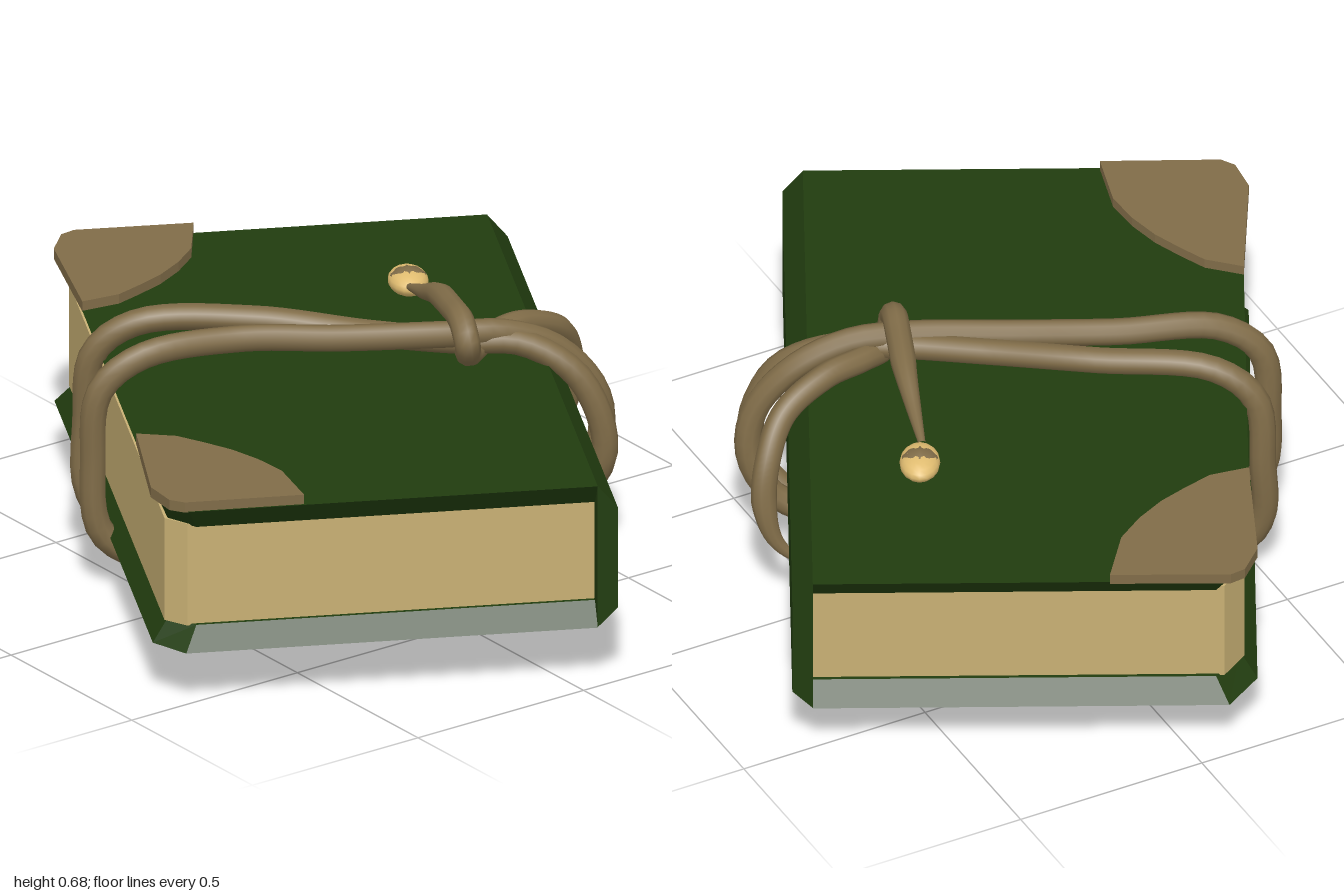
import * as THREE from 'three';

const flat = (name, color) => {
  const m = new THREE.MeshStandardMaterial({ color });
  m.name = name;
  return m;
};

// Solid between two outlines [x, z], listed counter-clockwise from above
function loft(low, y0, high, y1) {
  const pos = [];
  const n = low.length;
  const at = (p, y) => [p[0], y, p[1]];
  const tri = (a, b, c) => pos.push(...a, ...b, ...c);
  for (let i = 0; i < n; i++) {
    const j = (i + 1) % n;
    tri(at(low[i], y0), at(low[j], y0), at(high[j], y1));
    tri(at(low[i], y0), at(high[j], y1), at(high[i], y1));
    if (i > 0 && i < n - 1) {
      tri(at(high[0], y1), at(high[i], y1), at(high[j], y1));
      tri(at(low[0], y0), at(low[j], y0), at(low[i], y0));
    }
  }
  const g = new THREE.BufferGeometry();
  g.setAttribute('position', new THREE.Float32BufferAttribute(pos, 3));
  g.computeVertexNormals();
  return g;
}

// Block outline with the two front corners cut off
const outline = (w, back, front, cutL, cutR, depth) => [
  [-w, back], [-w, front - depth], [-w + cutL, front],
  [w - cutR, front], [w, front - depth], [w, back],
];

// Round cord through points, its radius following a function of t
function cord(points, closed, segments, radius) {
  const curve = new THREE.CatmullRomCurve3(points.map((p) => new THREE.Vector3(...p)), closed);
  const sides = 10;
  const g = new THREE.TubeGeometry(curve, segments, 1, sides, closed);
  const pos = g.attributes.position;
  const v = new THREE.Vector3();
  for (let i = 0; i < pos.count; i++) {
    const t = Math.floor(i / (sides + 1)) / segments;
    const c = curve.getPointAt(closed ? t % 1 : t);
    v.fromBufferAttribute(pos, i).sub(c).multiplyScalar(radius(t)).add(c);
    pos.setXYZ(i, v.x, v.y, v.z);
  }
  return g;
}

export function createModel() {
  const green = flat('greenCover', 0x213c0f);
  const paper = flat('paper', 0xc8b074);
  const leather = flat('leather', 0x806c48);
  const gold = flat('gold', 0xe0bc70);

  const model = new THREE.Group();
  const add = (parent, name, geometry, material) => {
    const mesh = new THREE.Mesh(geometry, material);
    mesh.name = name;
    parent.add(mesh);
    return mesh;
  };

  // The book lies turned on the ground plane
  const book = new THREE.Group();
  book.name = 'book';
  book.rotation.y = THREE.MathUtils.degToRad(-27);
  model.add(book);

  // Covers, wider on the outside than on the inside
  const inner = outline(0.81, -0.495, 0.55, 0.1, 0.06, 0.06);
  add(book, 'bottomCover',
    loft(outline(0.855, -0.495, 0.592, 0.11, 0.08, 0.07), 0.15, inner, 0.205), green);
  add(book, 'topCover',
    loft(inner, 0.465, outline(0.855, -0.495, 0.575, 0.1, 0.07, 0.06), 0.525), green);

  // Page block
  const pages = outline(0.8, -0.5, 0.56, 0.08, 0.045, 0.05);
  add(book, 'pages', loft(pages, 0.2, pages, 0.47), paper);

  // Chamfered spine
  const profile = new THREE.Shape([
    [0.495, 0.15], [0.545, 0.2], [0.545, 0.465], [0.495, 0.525],
  ].map((p) => new THREE.Vector2(...p)));
  const spine = new THREE.ExtrudeGeometry(profile, { depth: 1.705, bevelEnabled: false });
  spine.rotateY(Math.PI / 2).translate(-0.8525, 0, 0);
  add(book, 'spine', spine, green);

  // Leather corner guards on the top cover
  const guard = [
    [-0.86, 0.23], [-0.862, 0.525], [-0.84, 0.56], [-0.755, 0.592], [-0.42, 0.575],
    [-0.45, 0.48], [-0.5, 0.42], [-0.555, 0.36], [-0.625, 0.305], [-0.705, 0.26],
  ];
  const mirrored = guard.map(([x, z]) => [-x - 0.01, z]).reverse();
  add(book, 'leftCornerGuard', loft(mirrored, 0.523, mirrored, 0.55), leather);
  add(book, 'rightCornerGuard', loft(guard, 0.523, guard, 0.55), leather);

  // Two cord loops wrapped around the book
  const even = () => 0.033;
  add(model, 'cordLoopOuter', cord([
    [-0.40, 0.35, 0.485], [-0.38, 0.54, 0.475], [-0.32, 0.62, 0.39], [-0.16, 0.625, 0.15],
    [0.03, 0.60, -0.06], [0.17, 0.585, -0.23], [0.25, 0.575, -0.36], [0.33, 0.50, -0.46],
    [0.37, 0.38, -0.51], [0.37, 0.27, -0.52], [0.32, 0.18, -0.49], [0.24, 0.10, -0.38],
    [0.1, 0.06, -0.15], [-0.06, 0.034, 0.1], [-0.22, 0.05, 0.31], [-0.35, 0.1, 0.45],
    [-0.39, 0.19, 0.49],
  ], true, 90, even), leather);
  add(model, 'cordLoopInner', cord([
    [-0.21, 0.35, 0.60], [-0.2, 0.53, 0.585], [-0.16, 0.61, 0.49], [-0.08, 0.625, 0.25],
    [0.04, 0.615, 0.04], [0.17, 0.61, -0.2], [0.22, 0.60, -0.33], [0.26, 0.54, -0.46],
    [0.295, 0.42, -0.55], [0.29, 0.30, -0.57], [0.26, 0.18, -0.52], [0.18, 0.10, -0.36],
    [0.06, 0.05, -0.05], [-0.07, 0.04, 0.25], [-0.16, 0.08, 0.49], [-0.2, 0.16, 0.585],
  ], true, 90, even), leather);

  // Loose cord: from the bead over the loops, under them, then down behind the spine
  add(model, 'looseCord', cord([
    [-0.2, 0.57, -0.35], [-0.1, 0.6, -0.32], [0.0, 0.635, -0.29], [0.12, 0.65, -0.245],
    [0.2, 0.65, -0.215], [0.245, 0.61, -0.2], [0.21, 0.565, -0.23], [0.17, 0.575, -0.32],
    [0.15, 0.575, -0.43], [0.125, 0.52, -0.56], [0.08, 0.42, -0.63], [0.055, 0.32, -0.65],
    [0.035, 0.22, -0.63], [0.015, 0.15, -0.57], [0.0, 0.1, -0.51],
  ], false, 90, (t) => Math.max(0.004, Math.min(0.009 + t * 0.13, 0.032, (1 - t) * 0.16))), leather);

  // Flattened bead with a leather wrap at the end of the loose cord
  const bead = new THREE.Group();
  bead.name = 'bead';
  bead.position.set(-0.255, 0.56, -0.385);
  bead.rotation.y = -0.5;
  model.add(bead);
  add(bead, 'beadBody', new THREE.SphereGeometry(1, 16, 10), gold).scale.set(0.072, 0.032, 0.05);
  add(bead, 'beadWrap', new THREE.IcosahedronGeometry(1, 1), leather).scale.set(0.05, 0.035, 0.05);

  return model;
}
